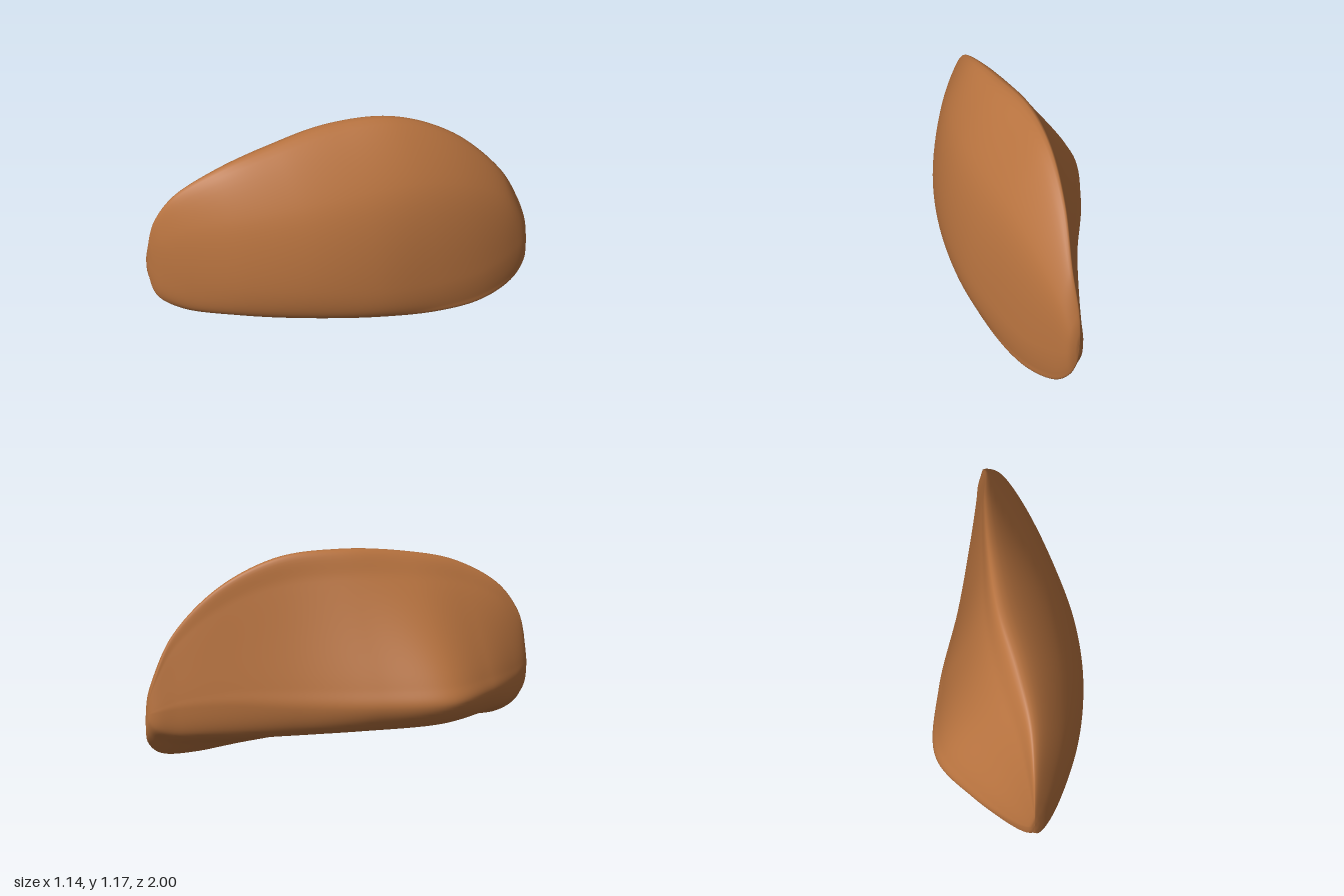
import * as THREE from 'three';
import { mergeVertices } from 'three/addons/utils/BufferGeometryUtils.js';

// Cross-sections from back tip to front end:
// z, crest x y, outer side x y, lower edge x y, inner bulge x y
const SECTIONS = [
  [-1.0, 0.465, 0.29, 0.465, 0.29, 0.465, 0.29, 0.465, 0.29],
  [-0.993, 0.455, 0.39, 0.488, 0.28, 0.483, 0.19, 0.442, 0.29],
  [-0.965, 0.44, 0.505, 0.52, 0.27, 0.508, 0.115, 0.41, 0.3],
  [-0.87, 0.41, 0.725, 0.547, 0.25, 0.532, 0.038, 0.345, 0.32],
  [-0.65, 0.285, 0.99, 0.567, 0.22, 0.555, 0.006, 0.185, 0.34],
  [-0.35, 0.145, 1.15, 0.55, 0.25, 0.525, 0.032, -0.05, 0.33],
  [0.0, 0.02, 1.175, 0.49, 0.3, 0.41, 0.082, -0.36, 0.34],
  [0.35, -0.05, 1.13, 0.355, 0.35, 0.2, 0.122, -0.57, 0.36],
  [0.65, -0.13, 1.05, 0.16, 0.38, -0.01, 0.15, -0.505, 0.38],
  [0.87, -0.23, 0.905, -0.065, 0.4, -0.18, 0.17, -0.405, 0.4],
  [0.965, -0.28, 0.75, -0.2, 0.43, -0.25, 0.24, -0.35, 0.44],
  [0.993, -0.295, 0.63, -0.265, 0.47, -0.29, 0.35, -0.325, 0.47],
  [1.0, -0.3, 0.49, -0.3, 0.49, -0.3, 0.49, -0.3, 0.49],
];
const ROWS = 144, SIDES = 96;

// Rounded wedge outline, clockwise from the crest
function outline([z, tx, ty, ox, oy, bx, by, ix, iy]) {
  const mix = THREE.MathUtils.lerp;
  return [
    [tx, ty],
    [mix(ox, tx, 0.55) + 0.27 * (ox - tx), mix(oy, ty, 0.55) + 0.08 * (ty - oy)],
    [ox, oy],
    [mix(ox, bx, 0.3), mix(by, oy, 0.2)],
    [bx, by],
    [mix(bx, ix, 0.45), mix(by, iy, 0.25)],
    [mix(bx, ix, 0.87), mix(by, iy, 0.5)],
    [ix, iy],
    [mix(ix, tx, 0.08), mix(iy, ty, 0.14)],
    [mix(ix, tx, 0.42), mix(iy, ty, 0.5)],
    [mix(ix, tx, 0.76), mix(iy, ty, 0.82)],
  ].map(([x, y]) => new THREE.Vector3(x, y, z));
}

function lobeGeometry() {
  // One lengthwise curve through each outline point
  const outlines = SECTIONS.map(outline);
  const tracks = outlines[0].map((_, k) => new THREE.CatmullRomCurve3(outlines.map((o) => o[k])));

  const positions = [], index = [];
  for (let i = 0; i <= ROWS; i++) {
    const ring = new THREE.CatmullRomCurve3(tracks.map((t) => t.getPoint(i / ROWS)), true);
    const isPole = i === 0 || i === ROWS;
    for (let j = 0; j < SIDES; j++) {
      const p = isPole ? ring.points[0] : ring.getPoint(j / SIDES);
      positions.push(p.x, p.y, p.z);
      if (i === ROWS) continue;
      const a = i * SIDES + j, b = i * SIDES + ((j + 1) % SIDES);
      const c = a + SIDES, d = b + SIDES;
      // Single triangles at the two poles, quads between
      if (i > 0) index.push(a, c, b);
      if (i < ROWS - 1) index.push(b, c, d);
    }
  }
  const geometry = new THREE.BufferGeometry();
  geometry.setAttribute('position', new THREE.Float32BufferAttribute(positions, 3));
  geometry.setIndex(index);
  const merged = mergeVertices(geometry, 1e-5);
  merged.computeVertexNormals();
  return merged;
}

export function createModel() {
  const group = new THREE.Group();
  group.name = 'smoothLobe';
  const lobe = new THREE.Mesh(lobeGeometry(), new THREE.MeshStandardMaterial({ color: 0xb8733f }));
  lobe.name = 'lobe';
  group.add(lobe);
  return group;
}
